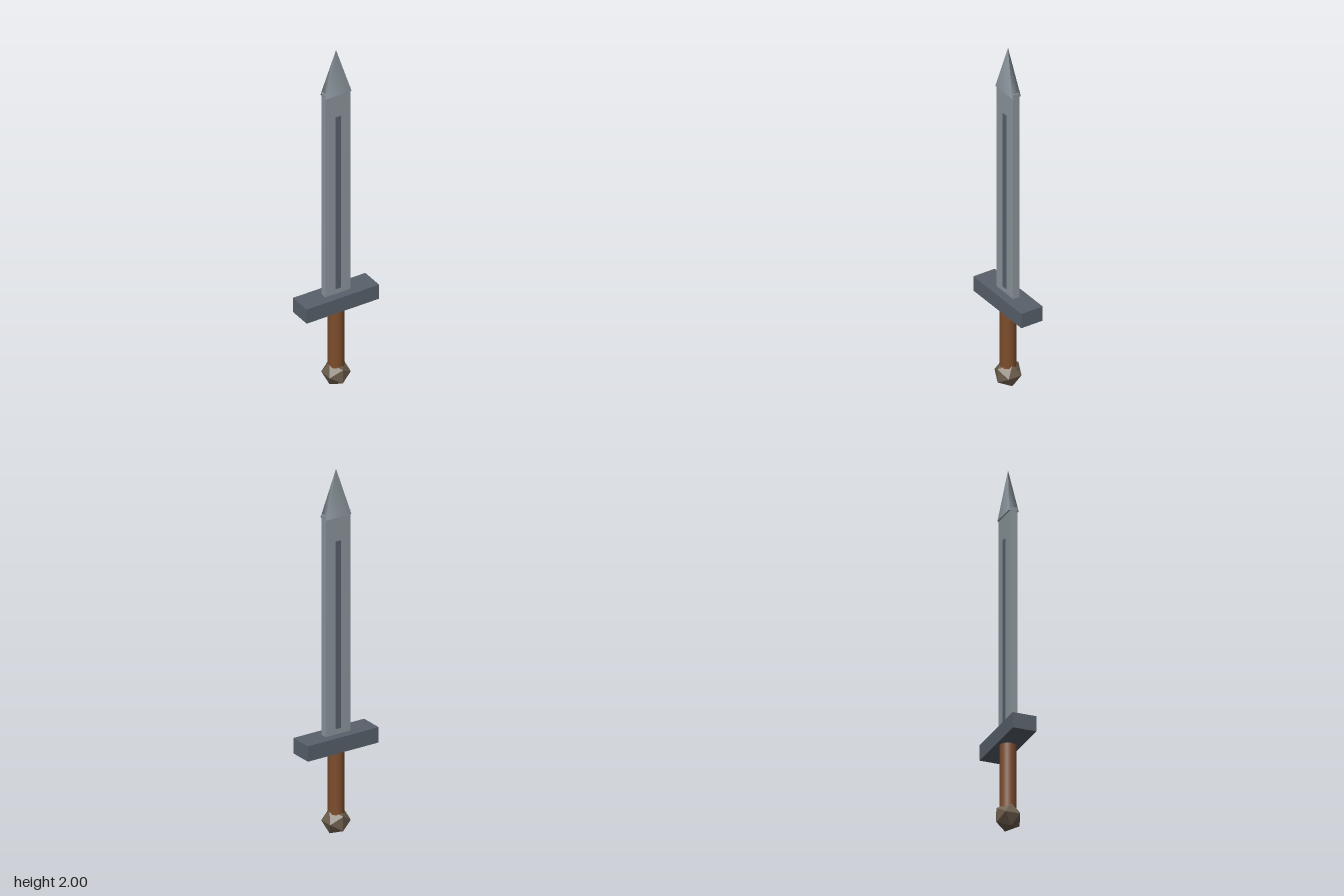
import * as THREE from 'three';

const material = (name, color) => {
  const m = new THREE.MeshStandardMaterial({ color });
  m.name = name;
  return m;
};

export function createModel() {
  const steel = material('steel', 0x8c969e);
  const darkSteel = material('dark steel', 0x59616b);
  const leather = material('brown leather', 0x7d4e2d);
  const bronze = material('dull bronze', 0x6e5f4e);
  const sword = new THREE.Group();
  sword.name = 'sword';

  const add = (name, geometry, mat, y) => {
    const mesh = new THREE.Mesh(geometry, mat);
    mesh.name = name;
    mesh.position.y = y;
    sword.add(mesh);
    return mesh;
  };
  // Box spanning bottom to top, centred on the sword's axis
  const bar = (name, width, depth, bottom, top, mat) =>
    add(name, new THREE.BoxGeometry(width, top - bottom, depth), mat, (bottom + top) / 2);

  // Faceted pommel: separate triangles give it flat faces
  add('pommel', new THREE.IcosahedronGeometry(0.075, 0), bronze, 0.064);

  // Round grip
  add('grip', new THREE.CylinderGeometry(0.0435, 0.0435, 0.4, 12), leather, 0.265);

  // Crossguard, blade and the raised ridge showing on both faces
  bar('crossguard', 0.434, 0.13, 0.461, 0.546, darkSteel);
  bar('blade', 0.152, 0.039, 0.54, 1.762, steel);
  bar('ridge', 0.031, 0.048, 0.577, 1.61, darkSteel);

  // Four-sided tip, flattened to follow the blade
  const tip = new THREE.ConeGeometry(Math.SQRT2, 0.258, 4);
  tip.rotateY(Math.PI / 4);
  tip.scale(0.0765, 1, 0.0265);
  add('tip', tip, steel, 1.871);

  return sword;
}
